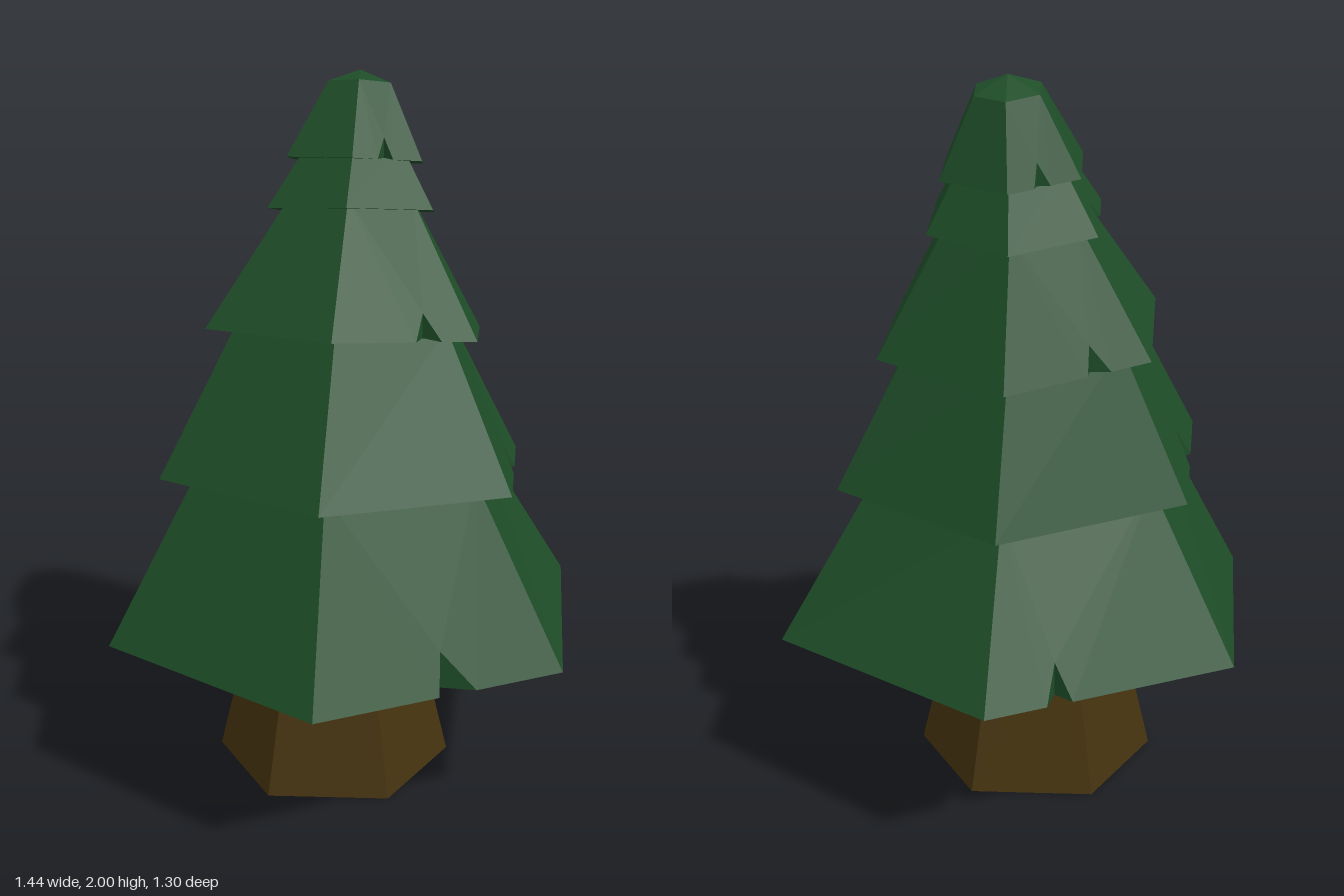
import * as THREE from 'three';

const SIDES = 6;
const leafMat = new THREE.MeshStandardMaterial({ color: 0x1e4d28, flatShading: true });
const barkMat = new THREE.MeshStandardMaterial({ color: 0x46330f, flatShading: true });

// Six-sided ring: centre, radius, twist in degrees, and slope of its plane along x and z
function ring({ x, y, z, r, rot = 0, sx = 0, sz = 0 }, scale = 1, lift = 0) {
  return Array.from({ length: SIDES }, (_, i) => {
    const a = THREE.MathUtils.degToRad(rot + i * 60);
    const dx = Math.cos(a) * r * scale, dz = Math.sin(a) * r * scale;
    return new THREE.Vector3(x + dx, y + lift + dx * sx + dz * sz, z + dz);
  });
}

const mix = (a, b, t) => a.clone().lerp(b, t);

function meshFrom(points, material, name) {
  const geo = new THREE.BufferGeometry().setFromPoints(points);
  geo.computeVertexNormals();
  const mesh = new THREE.Mesh(geo, material);
  mesh.name = name;
  return mesh;
}

// One skirt of foliage: sloping wall, nicked rim, flat underside and a recess
function foliageTier(base, top, notches, tip) {
  const out = [];
  const tri = (a, b, c) => out.push(a, b, c);
  const rim = ring(base), upper = ring(top);
  const inner = ring(base, 0.76), ceiling = ring(base, 0.71, base.r * 0.24);
  const middle = new THREE.Vector3(base.x, base.y + base.r * 0.24, base.z);

  for (let i = 0; i < SIDES; i++) {
    const j = (i + 1) % SIDES;
    const v0 = rim[i], v1 = rim[j], t0 = upper[i], t1 = upper[j];
    const notch = notches.find((n) => n.side === i);
    if (notch) {
      const { from, peak, to, height } = notch;
      const a = mix(v0, v1, from), b = mix(v0, v1, to);
      const p = mix(mix(v0, v1, peak), mix(t0, t1, peak), height);
      const q = p.clone();
      q.y = mix(v0, v1, peak).y;
      // wall around the nick
      tri(v0, t0, a); tri(a, t0, p); tri(p, t0, t1); tri(p, t1, b); tri(b, t1, v1);
      // cut faces
      tri(a, p, q); tri(b, q, p);
      // underside around the nick
      tri(v0, a, inner[i]); tri(a, q, inner[i]); tri(q, inner[j], inner[i]);
      tri(q, b, inner[j]); tri(b, v1, inner[j]);
    } else {
      tri(v0, t0, v1); tri(v1, t0, t1);
      tri(v0, v1, inner[i]); tri(v1, inner[j], inner[i]);
    }
    // recess walls and ceiling
    tri(inner[i], inner[j], ceiling[i]); tri(inner[j], ceiling[j], ceiling[i]);
    tri(ceiling[i], ceiling[j], middle);
    if (tip) tri(t0, tip, t1);
  }
  return out;
}

export function createModel() {
  const tree = new THREE.Group();
  tree.name = 'pineTree';

  // Trunk: tapered hexagonal post
  const trunk = new THREE.Mesh(new THREE.CylinderGeometry(0.188, 0.343, 0.65, SIDES), barkMat);
  trunk.position.set(-0.047, 0.325, 0.012);
  trunk.name = 'trunk';
  tree.add(trunk);

  // Tiers from bottom to top, leaning gradually; topR is the wall radius under the next tier
  const tiers = [
    { x: -0.003, y: 0.475, z: -0.003, r: 0.72, rot: 4.6, topR: 0.435,
      notches: [[0, 0.36, 0.47, 0.51, 0.21], [3, 0.66, 0.72, 0.76, 0.21]] },
    { x: -0.005, y: 0.92, z: 0.005, r: 0.55, rot: 4.6, sx: 0.027, sz: 0.075, topR: 0.325,
      notches: [[5, 0.42, 0.5, 0.57, 0.2], [2, 0.42, 0.5, 0.57, 0.25]] },
    { x: -0.021, y: 1.305, z: -0.03, r: 0.42, rot: 3.2, sx: 0.048, sz: 0.145, topR: 0.195,
      notches: [[0, 0.25, 0.33, 0.43, 0.2], [3, 0.28, 0.37, 0.44, 0.2]] },
    { x: -0.04, y: 1.625, z: -0.085, r: 0.257, rot: 1.5, sx: 0.09, sz: 0.17, topR: 0.155,
      notches: [[5, 0.55, 0.63, 0.73, 0.32], [2, 0.45, 0.55, 0.65, 0.32]] },
    { x: -0.04, y: 1.76, z: -0.1, r: 0.21, rot: 0.5, sx: 0.06, sz: 0.16,
      notches: [[0, 0.42, 0.5, 0.64, 0.28], [3, 0.42, 0.53, 0.64, 0.28]] },
  ];
  const crown = { x: -0.049, y: 1.962, z: -0.135, r: 0.097, sx: 0.08, sz: 0.2 };
  const tip = new THREE.Vector3(-0.049, 2, -0.135);

  tiers.forEach((tier, i) => {
    const next = tiers[i + 1];
    // each wall ends just inside the tier above
    const top = next ? { ...next, y: next.y + 0.025, r: tier.topR } : crown;
    const notches = tier.notches.map(([side, from, peak, to, height]) => ({ side, from, peak, to, height }));
    const points = foliageTier(tier, top, notches, next ? null : tip);
    tree.add(meshFrom(points, leafMat, `foliageTier${i + 1}`));
  });

  return tree;
}
